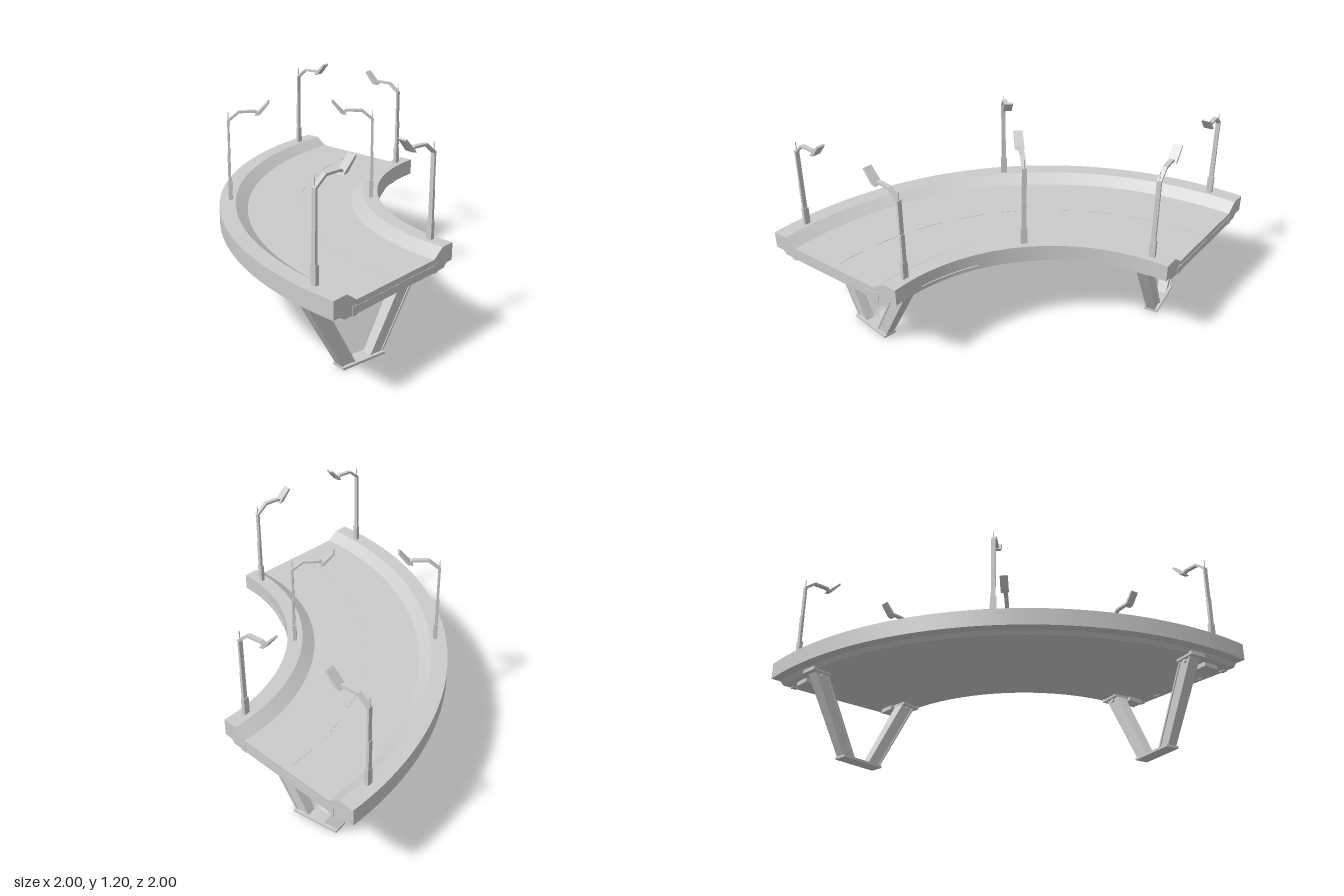
import * as THREE from 'three';
import { toCreasedNormals } from 'three/addons/utils/BufferGeometryUtils.js';

const mat = new THREE.MeshStandardMaterial({ color: 0xcccccc, side: THREE.DoubleSide });
const deg = Math.PI / 180;

function add(parent, name, geometry, x = 0, y = 0, z = 0) {
  const mesh = new THREE.Mesh(geometry, mat);
  mesh.name = name;
  mesh.position.set(x, y, z);
  parent.add(mesh);
  return mesh;
}

const toShape = (pts) => new THREE.Shape(pts.map(([x, y]) => new THREE.Vector2(x, y)));

// Plate of the given outline, centred across its width
function plate(pts, width) {
  const g = new THREE.ExtrudeGeometry(toShape(pts), { depth: width, bevelEnabled: false });
  return g.translate(0, 0, -width / 2);
}

// Sweep a closed section (radius, height) from angle a to b, in degrees from the front end
function sweep(pts, a, b, steps) {
  const closed = [...pts, pts[0]].map(([r, y]) => new THREE.Vector2(r, y));
  const g = new THREE.LatheGeometry(closed, steps, (270 - b) * deg, (b - a) * deg);
  return toCreasedNormals(g, 0.3);
}

// Group at the bend centre whose +x axis points outward at the given angle
function radial(parent, name, angle) {
  const g = new THREE.Group();
  g.name = name;
  g.position.set(1, 0, 1);
  g.rotation.y = Math.PI - angle * deg;
  parent.add(g);
  return g;
}

// Street lamp; the arm reaches along +x
function lamp() {
  const g = new THREE.Group();
  g.name = 'streetLamp';
  add(g, 'lampBase', new THREE.BoxGeometry(0.022, 0.11, 0.036), 0, 0.65, 0);
  add(g, 'lampLowerPost', new THREE.BoxGeometry(0.016, 0.18, 0.026), -0.002, 0.79, 0);
  add(g, 'lampPole', plate([
    [-0.006, 0.6], [0.006, 0.6], [0.006, 1.076], [0.066, 1.126], [0.152, 1.129],
    [0.172, 1.114], [0.18, 1.124], [0.157, 1.142], [0.062, 1.14], [-0.006, 1.084]], 0.026));
  add(g, 'lampAntenna', new THREE.BoxGeometry(0.004, 0.06, 0.004), 0, 1.105, 0);
  add(g, 'lampHead', plate([
    [0.155, 1.112], [0.185, 1.118], [0.242, 1.188], [0.234, 1.196], [0.178, 1.138]], 0.052));
  return g;
}

// Sloping leg: a web with two wider flanges, narrowing toward the foot
function leg(side) {
  const g = new THREE.Group();
  g.name = side > 0 ? 'outerLeg' : 'innerLeg';
  const strip = (name, t0, t1, width) => {
    const top = (t) => [side * (0.305 + 0.1 * t), 0.478];
    const foot = (t) => [side * (0.05 + 0.09 * t), 0.01];
    const geo = plate([top(t0), top(t1), foot(t1), foot(t0)], width);
    const p = geo.attributes.position;
    for (let i = 0; i < p.count; i++) p.setZ(i, p.getZ(i) * (0.8 + 0.42 * p.getY(i)));
    geo.computeVertexNormals();
    add(g, name, geo);
  };
  strip('legWeb', 0.1, 0.9, 0.058);
  strip('legFlange', 0, 0.13, 0.072);
  strip('legFlange', 0.87, 1, 0.072);
  const pin = add(g, 'legPin', new THREE.CylinderGeometry(0.012, 0.012, 0.08, 12), side * 0.345, 0.452, 0);
  pin.rotation.x = Math.PI / 2;
  return g;
}

export function createModel() {
  const model = new THREE.Group();
  model.name = 'curvedBridge';

  // Quarter-circle deck with raised kerbs and a gently ribbed underside
  const section = [
    [1.05, 0.5], [1.1, 0.5], [1.12, 0.477], [1.32, 0.477], [1.35, 0.482], [1.38, 0.477],
    [1.66, 0.477], [1.69, 0.482], [1.72, 0.477], [1.92, 0.477], [1.94, 0.5], [2, 0.5],
    [2, 0.6], [1.905, 0.6], [1.835, 0.55], [1.21, 0.55], [1.14, 0.6], [1.05, 0.6]];
  add(model, 'deck', sweep(section, 0, 90, 54));
  model.children[0].position.set(1, 0, 1);

  // Raised strip on the inner wall
  const strip = add(model, 'innerWallStrip',
    sweep([[1.043, 0.507], [1.052, 0.507], [1.052, 0.528], [1.043, 0.528]], 10, 30, 12));
  strip.position.set(1, 0, 1);

  // Centre line dashes on the road
  for (let a = 2; a < 90; a += 10) {
    add(model, 'centreDash',
      sweep([[1.519, 0.549], [1.527, 0.549], [1.527, 0.552], [1.519, 0.552]], a, a + 6, 4), 1, 0, 1);
  }

  for (const [angle, inward] of [[0, 1], [90, -1]]) {
    // End face, edge beam and its end blocks
    const end = radial(model, 'deckEnd', angle);
    add(end, 'endFace', new THREE.ShapeGeometry(toShape(section)));
    add(end, 'endBeam', new THREE.BoxGeometry(0.62, 0.042, 0.03), 1.525, 0.498, inward * 0.013);
    for (const r of [1.2, 1.85]) {
      add(end, 'endBeamBlock', new THREE.BoxGeometry(0.035, 0.052, 0.03), r, 0.498, inward * 0.012);
    }

    // V-shaped support
    const support = radial(model, 'support', angle + inward * 9.5);
    const frame = new THREE.Group();
    frame.name = 'supportFrame';
    frame.position.x = 1.52;
    support.add(frame);
    for (const side of [1, -1]) {
      frame.add(leg(side));
      add(frame, 'legBracket', new THREE.BoxGeometry(0.13, 0.022, 0.1), side * 0.36, 0.474, 0);
    }
    add(frame, 'footPlate', new THREE.BoxGeometry(0.29, 0.014, 0.085), 0, 0.007, 0);

    // Small plates under the kerbs beside each support
    const mounts = radial(model, 'underMounts', angle + inward * 4.7);
    for (const r of [1.2, 1.84]) {
      add(mounts, 'underMount', new THREE.BoxGeometry(0.08, 0.026, 0.1), r, 0.463, 0);
    }
  }

  // Lamps along both kerbs, arms over the road
  for (const angle of [5.4, 45, 84.6]) {
    const outer = lamp();
    outer.position.x = 1.935;
    outer.rotation.y = Math.PI;
    radial(model, 'outerLamp', angle).add(outer);
  }
  for (const angle of [6.2, 45, 83.8]) {
    const inner = lamp();
    inner.position.x = 1.095;
    radial(model, 'innerLamp', angle).add(inner);
  }
  return model;
}
